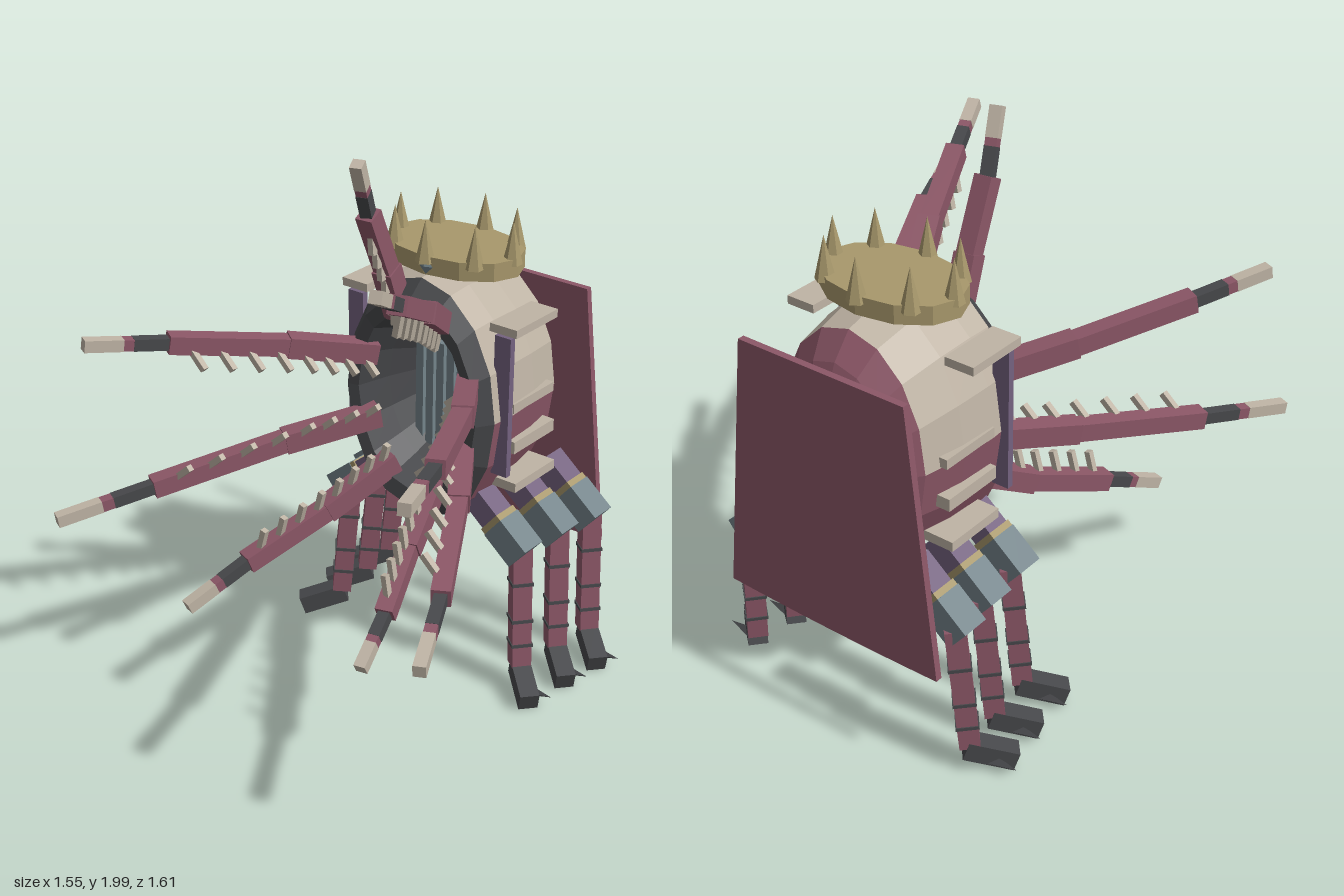
import * as THREE from 'three';

const mat = (name, color, side = THREE.FrontSide) => {
  const m = new THREE.MeshStandardMaterial({ color, side, flatShading: true });
  m.name = name;
  return m;
};
const rose = mat('rose', 0x8c5767, THREE.DoubleSide);
const cream = mat('cream', 0xbfb4a5, THREE.DoubleSide);
const charcoal = mat('charcoal', 0x47484b, THREE.DoubleSide);
const slate = mat('slate', 0x74848a);
const purple = mat('purple', 0x74627f);
const gold = mat('gold', 0xa8986c);
const V = (x, y, z) => new THREE.Vector3(x, y, z);

function add(parent, geo, material, name, x = 0, y = 0, z = 0) {
  const m = new THREE.Mesh(geo, material);
  m.name = name;
  m.position.set(x, y, z);
  parent.add(m);
  return m;
}
const box = (p, w, h, d, m, name, x, y, z) => add(p, new THREE.BoxGeometry(w, h, d), m, name, x, y, z);

// Square bar running from a to b
function beam(parent, a, b, w, h, material, name) {
  const m = new THREE.Mesh(new THREE.BoxGeometry(w, h, a.distanceTo(b)), material);
  m.name = name;
  m.position.copy(a).lerp(b, 0.5);
  m.lookAt(b);
  parent.add(m);
}
// Same bar, given as a stretch of the line a-b
function stretch(parent, a, b, t0, t1, w, material, name) {
  beam(parent, a.clone().lerp(b, t0), a.clone().lerp(b, t1), w, w, material, name);
}

// Elliptical shell around the z axis from [radius, z] pairs
function shell(parent, profile, material, name, start = 0, length = Math.PI * 2, segs = 16) {
  const geo = new THREE.LatheGeometry(profile.map(p => new THREE.Vector2(p[0], p[1])), segs, start, length);
  geo.rotateX(Math.PI / 2);
  geo.scale(0.7, 1, 1);
  add(parent, geo, material, name, 0, 1.068, 0);
}

function buildBody(g) {
  const side = [[0.415, -0.66], [0.455, -0.5], [0.465, -0.36], [0.455, -0.26]];
  shell(g, side, cream, 'upperShell', Math.PI / 2, Math.PI, 8);
  shell(g, side, rose, 'lowerShell', -Math.PI / 2, Math.PI, 8);
  shell(g, [[0, -0.79], [0.2, -0.785], [0.33, -0.73], [0.415, -0.66]], rose, 'rearShell');
  shell(g, [[0.455, -0.26], [0.4, -0.2], [0.34, -0.21], [0.29, -0.34], [0.23, -0.45], [0, -0.45]], charcoal, 'mouth');

  // Throat disc with upright ribs
  const disc = new THREE.CylinderGeometry(1, 1, 0.02, 16).rotateX(Math.PI / 2).scale(0.145, 0.25, 1);
  add(g, disc, slate, 'throatDisc', 0.008, 1.07, -0.435);
  for (let i = 0; i < 6; i++) box(g, 0.032, 0.41, 0.04, slate, 'throatRib', -0.105 + i * 0.045, 1.025, -0.41);

  // Cape on the back
  const s = new THREE.Shape();
  s.moveTo(-0.44, 0.43);
  s.quadraticCurveTo(0, 0.415, 0.44, 0.43);
  s.lineTo(0.33, 1.4);
  s.lineTo(-0.33, 1.4);
  add(g, new THREE.ExtrudeGeometry(s, { depth: 0.025, bevelEnabled: false }), rose, 'cape', 0, 0, -0.805);

  // Shoulder plates, pillars and side slats
  for (const k of [-1, 1]) {
    box(g, 0.11, 0.03, 0.24, cream, 'shoulderPlate', k * 0.32, 1.405, -0.41);
    box(g, 0.065, 0.52, 0.025, purple, 'sidePillar', k * 0.318, 1.12, -0.305);
    box(g, 0.05, 0.035, 0.24, cream, 'sideSlat', k * 0.302, 1.09, -0.48);
    box(g, 0.07, 0.045, 0.24, cream, 'sideSlat', k * 0.3, 0.942, -0.48);
    box(g, 0.12, 0.035, 0.24, cream, 'sideSlat', k * 0.285, 0.788, -0.48);
  }
}

function buildCrown(g) {
  const band = new THREE.CylinderGeometry(1, 1, 0.065, 12).scale(0.265, 1, 0.18);
  add(g, band, gold, 'crownBand', -0.01, 1.56, -0.46);
  for (let i = 0; i < 8; i++) {
    const a = i * Math.PI / 4;
    add(g, new THREE.ConeGeometry(0.035, 0.15, 6), gold, 'crownSpike',
      -0.01 + 0.24 * Math.cos(a), 1.645, -0.46 + 0.17 * Math.sin(a));
  }
  const gem = add(g, new THREE.OctahedronGeometry(0.03), slate, 'crownGem', 0, 1.56, -0.28);
  gem.scale.z = 0.4;
}

// One leg: k is the side, o the outward shift, z the place along the body
function buildLeg(g, k, o, z) {
  const P = (x, y, dz = 0) => V(k * (x + o), y, z + dz);
  const leg = new THREE.Group();
  leg.name = k > 0 ? 'leftLeg' : 'rightLeg';
  g.add(leg);
  const hip = P(0.2, 0.745), knee = P(0.42, 0.565);
  beam(leg, hip, hip.clone().lerp(knee, 0.42), 0.09, 0.09, purple, 'hip');
  stretch(leg, hip, knee, 0.42, 0.5, 0.1, gold, 'hipBand');
  stretch(leg, hip, knee, 0.5, 1, 0.105, slate, 'knee');
  const top = P(0.385, 0.59, -0.02), ankle = P(0.42, 0.11, 0.01);
  stretch(leg, top, ankle, 0, 1, 0.07, rose, 'shin');
  for (const t of [0.3, 0.6, 0.8]) stretch(leg, top, ankle, t, t + 0.025, 0.078, charcoal, 'shinBand');
  beam(leg, P(0.41, 0.1), P(0.535, 0.045, 0.11), 0.07, 0.07, charcoal, 'foot');
  const claw = add(leg, new THREE.ConeGeometry(0.025, 0.1, 4), charcoal, 'claw');
  claw.position.copy(P(0.535, 0.05, 0.045));
  claw.rotation.z = -k * 1.5;
}

// One tentacle through base, two joints and tip, with teeth on its inner side
function buildTentacle(parent, pts) {
  const [a, b, c, d] = pts.map(p => V(...p));
  const t = new THREE.Group();
  t.name = 'tentacle';
  parent.add(t);
  stretch(t, a, b, 0, 1.03, 0.075, rose, 'baseSegment');
  stretch(t, b, c, -0.04, 1, 0.064, rose, 'middleSegment');
  stretch(t, c, d, -0.02, 0.42, 0.042, charcoal, 'darkSegment');
  stretch(t, c, d, 0.42, 0.54, 0.04, rose, 'tipBand');
  stretch(t, c, d, 0.54, 1, 0.042, cream, 'tip');
  const inward = V(-(b.x + c.x) * 0.3, -((b.y + c.y) / 2 - 1.068) * 1.3, 0).normalize();
  for (let i = 0; i < 8; i++) {
    const f = 0.2 + i * 0.235;
    const root = f < 1 ? a.clone().lerp(b, f) : b.clone().lerp(c, f - 1);
    beam(t, root, root.clone().addScaledVector(inward, 0.11), 0.022, 0.022, cream, 'tooth');
  }
}

const TENTACLES = [
  [[-0.11, 1.37, -0.25], [-0.1, 1.56, -0.17], [-0.09, 1.79, -0.06], [-0.06, 1.99, 0.03]],
  [[0.08, 1.38, -0.25], [0.18, 1.53, -0.02], [0.28, 1.67, 0.25], [0.34, 1.77, 0.43]],
  [[0.19, 1.19, -0.25], [0.39, 1.25, 0.05], [0.6, 1.3, 0.47], [0.72, 1.335, 0.77]],
  [[-0.21, 1.2, -0.25], [-0.39, 1.26, 0], [-0.61, 1.335, 0.37], [-0.74, 1.38, 0.63]],
  [[-0.2, 0.96, -0.25], [-0.38, 0.91, 0.04], [-0.61, 0.83, 0.48], [-0.76, 0.78, 0.79]],
  [[0.18, 0.96, -0.25], [0.36, 0.91, 0.02], [0.6, 0.83, 0.43], [0.75, 0.78, 0.73]],
  [[-0.13, 0.8, -0.25], [-0.23, 0.67, 0], [-0.34, 0.55, 0.31], [-0.41, 0.45, 0.54]],
  [[0.07, 0.8, -0.25], [0.14, 0.65, 0], [0.21, 0.51, 0.22], [0.25, 0.4, 0.4]],
];

export function createModel() {
  const model = new THREE.Group();
  model.name = 'tentacledCreature';
  const body = new THREE.Group();
  body.name = 'body';
  body.position.x = -0.02;
  model.add(body);
  buildBody(body);
  buildCrown(body);
  for (const k of [-1, 1]) {
    [-0.33, -0.52, -0.69].forEach((z, i) => buildLeg(body, k, i * 0.027, z));
  }
  TENTACLES.forEach(p => buildTentacle(model, p));
  return model;
}
